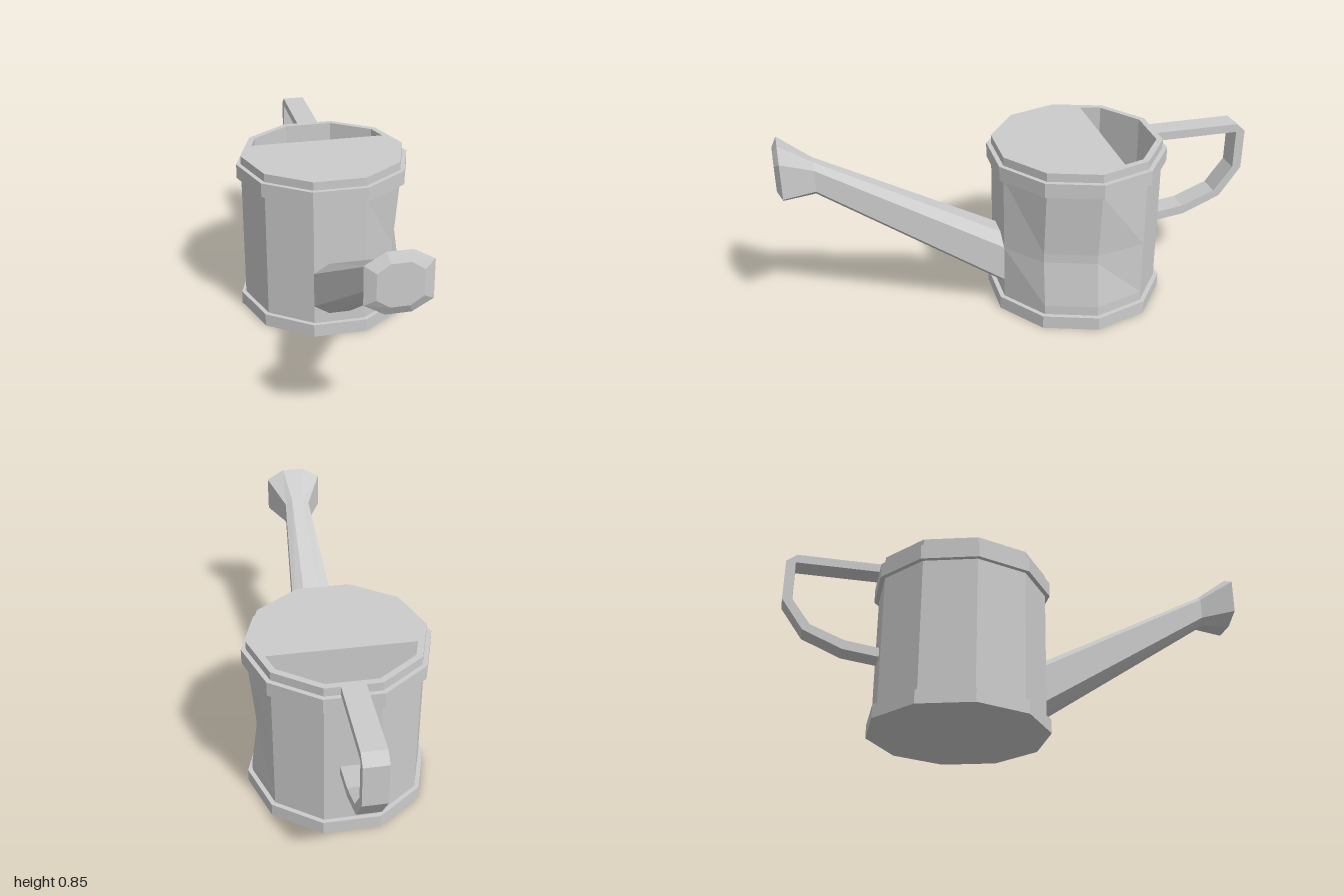
import * as THREE from 'three';

const SIDES = 10;
const CENTRE_Z = -0.247;
const grey = new THREE.MeshStandardMaterial({ color: 0xcccccc, flatShading: true });

function part(name, geometry, z = 0) {
  const mesh = new THREE.Mesh(geometry, grey);
  mesh.name = name;
  mesh.position.z = z;
  return mesh;
}

// Ten-sided turned part, with corners on the x axis
function turned(profile) {
  const points = profile.map(([r, y]) => new THREE.Vector2(r, y));
  return new THREE.LatheGeometry(points, SIDES, Math.PI / SIDES);
}

// Skin a row of equal-length rings and close the last one
function loft(rings) {
  const n = rings[0].length;
  const index = [];
  for (let r = 0; r < rings.length - 1; r++) {
    for (let i = 0; i < n; i++) {
      const a = r * n + i, b = r * n + (i + 1) % n;
      index.push(a, b, b + n, a, b + n, a + n);
    }
  }
  const last = (rings.length - 1) * n;
  for (let i = 1; i < n - 1; i++) index.push(last, last + i, last + i + 1);
  const g = new THREE.BufferGeometry();
  g.setAttribute('position', new THREE.Float32BufferAttribute(rings.flat(2), 3));
  g.setIndex(index);
  const flat = g.toNonIndexed();
  flat.computeVertexNormals();
  return flat;
}

// Octagon with chamfered corners, facing +z
function octagon(z, cy, w, h, topW, sideH) {
  return [
    [w, -sideH], [w, sideH], [topW, h], [-topW, h],
    [-w, sideH], [-w, -sideH], [-topW, -h], [topW, -h],
  ].map(([x, y]) => [x, cy + y, z]);
}

export function createModel() {
  const model = new THREE.Group();
  model.name = 'wateringCan';

  // Body wall, with a dent on the front left corners
  const R = 0.363, TOP = 0.727;
  const wall = turned([0.03, 0.1, 0.3, 0.34, 0.627, TOP].map((y) => [R, y]));
  const p = wall.attributes.position;
  for (let i = 0; i < p.count; i++) {
    const y = p.getY(i);
    if (y > 0.2 && y < 0.4 && p.getX(i) > 0.2 && p.getZ(i) > -0.05) {
      p.setX(i, p.getX(i) - 0.026);
    }
  }
  wall.computeVertexNormals();
  model.add(part('body', wall, CENTRE_Z));

  // Base and upper bands
  model.add(part('baseBand', turned([[0, 0], [0.383, 0], [0.383, 0.058], [0.34, 0.058]]), CENTRE_Z));
  model.add(part('upperBand', turned([[0.355, 0.627], [0.383, 0.627], [0.383, 0.69], [0.355, 0.69]]), CENTRE_Z));

  // Lid with the filling opening at the back
  const opening = [
    [-0.299, 0.11], [0.299, 0.11], [0.271, 0.197],
    [0.104, 0.319], [-0.104, 0.319], [-0.271, 0.197],
  ];
  const lid = new THREE.Shape();
  for (let i = 0; i < SIDES; i++) {
    const a = (i / SIDES) * Math.PI * 2;
    lid[i ? 'lineTo' : 'moveTo'](R * Math.cos(a), R * Math.sin(a));
  }
  lid.closePath();
  lid.holes.push(new THREE.Path(opening.map(([x, y]) => new THREE.Vector2(x, y))));
  const lidGeometry = new THREE.ShapeGeometry(lid).rotateX(-Math.PI / 2).translate(0, TOP, 0);
  model.add(part('lid', lidGeometry, CENTRE_Z));

  // Inner walls and floor below the opening
  const pocket = loft([TOP, 0.45].map((y) => opening.map(([x, s]) => [x, y, -s])));
  model.add(part('fillingOpening', pocket, CENTRE_Z));

  // Spout tapering to a neck, then flaring into the sprinkler head
  model.add(part('spout', loft([
    octagon(0.095, 0.22, 0.113, 0.122, 0.047, 0.08),
    octagon(0.85, 0.687, 0.055, 0.07, 0.024, 0.046),
    octagon(0.98, 0.732, 0.123, 0.119, 0.047, 0.075),
    octagon(1.0, 0.732, 0.083, 0.082, 0.035, 0.05),
  ])));

  // Handle, drawn in side profile (distance to the back, height)
  const outline = [
    [0.585, TOP], [0.958, TOP], [1, 0.692], [1, 0.515], [0.908, 0.385], [0.742, 0.315],
    [0.585, 0.295], [0.585, 0.335], [0.735, 0.355], [0.88, 0.412], [0.96, 0.52],
    [0.96, 0.69], [0.585, 0.69],
  ];
  const handleShape = new THREE.Shape(outline.map(([a, y]) => new THREE.Vector2(a, y)));
  const handle = new THREE.ExtrudeGeometry(handleShape, { depth: 0.096, bevelEnabled: false });
  handle.translate(0, 0, -0.048).rotateY(Math.PI / 2);
  model.add(part('handle', handle));

  return model;
}
